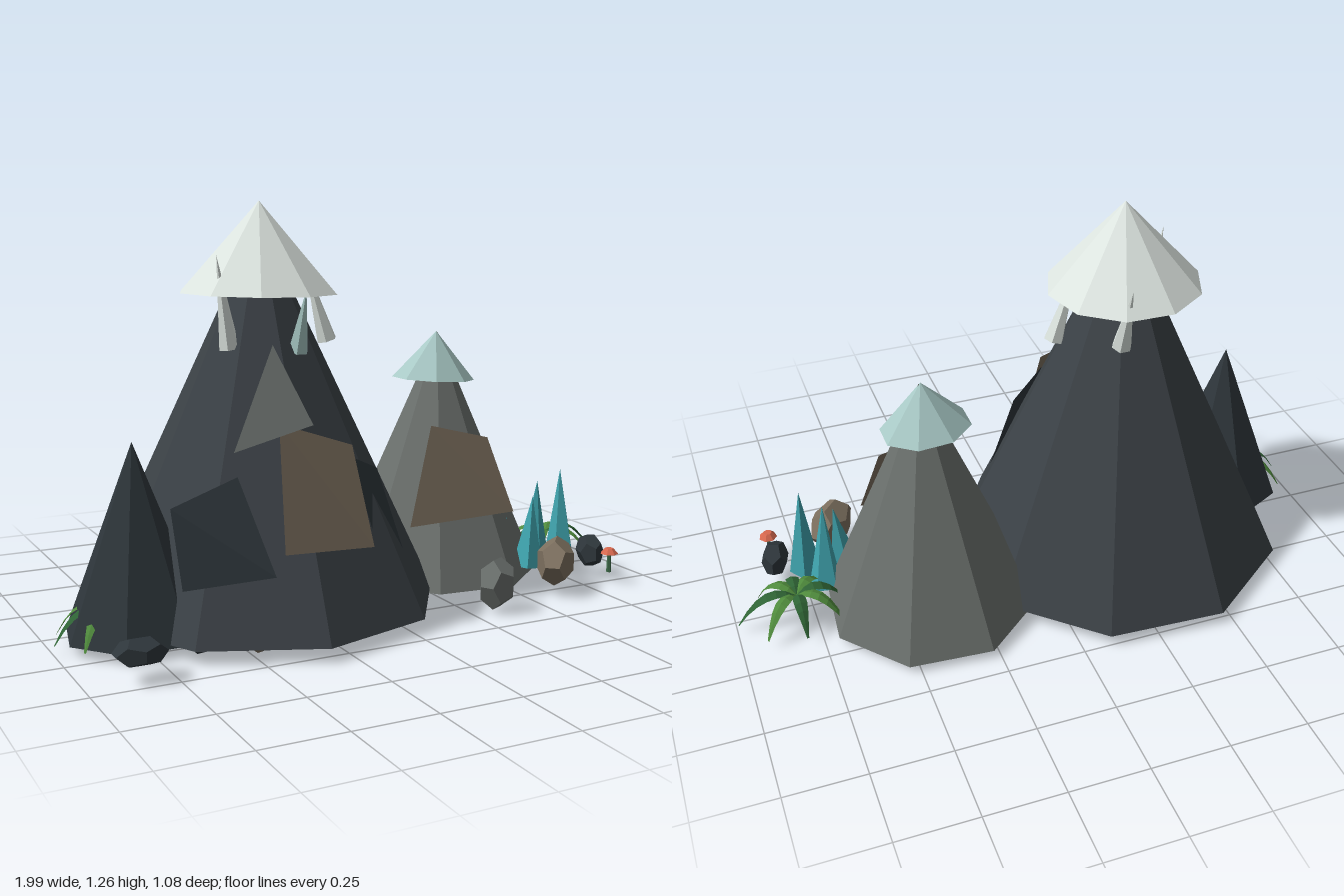
import * as THREE from 'three';

const V = (p) => new THREE.Vector3(...p);
const mat = (color, double = false) => new THREE.MeshStandardMaterial({
  color, flatShading: true, side: double ? THREE.DoubleSide : THREE.FrontSide,
});

const DARK = 0x3b4146, GREY = 0x6b706d, BROWN = 0x7d705f, SLATE = 0x2e363b;
const SNOW = 0xdde5e0, ICE = 0xa9c9c6, TEAL = 0x3fa3ad;

export function createModel() {
  const model = new THREE.Group();

  const add = (name, geometry, material, parent = model) => {
    const mesh = new THREE.Mesh(geometry, material);
    mesh.name = name;
    parent.add(mesh);
    return mesh;
  };

  // Faceted cone from a base point to a tip; startDeg is the top-view angle of one corner
  const cone = (name, base, tip, radius, sides, color, startDeg = 0, parent = model) => {
    const axis = V(tip).sub(V(base));
    const start = THREE.MathUtils.degToRad(90 - startDeg);
    const geometry = new THREE.ConeGeometry(radius, axis.length(), sides, 1, false, start);
    geometry.translate(0, axis.length() / 2, 0);
    const mesh = add(name, geometry, mat(color), parent);
    mesh.position.set(...base);
    mesh.quaternion.setFromUnitVectors(new THREE.Vector3(0, 1, 0), axis.normalize());
    return mesh;
  };

  // Flat rock plate with three or four corners
  const slab = (name, color, ...corners) => {
    const geometry = new THREE.BufferGeometry();
    geometry.setAttribute('position', new THREE.Float32BufferAttribute(corners.flat(), 3));
    geometry.setIndex(corners.length === 4 ? [0, 2, 1, 0, 3, 2] : [0, 1, 2]);
    geometry.computeVertexNormals();
    add(name, geometry, mat(color, true));
  };

  // Peaks
  cone('mainPeak', [-0.3, 0.042, 0], [-0.3, 1.21, 0], 0.55, 9, DARK, 13);
  cone('smallPeak', [0.38, 0.027, -0.1], [0.385, 0.83, -0.1], 0.345, 8, GREY, 27);
  cone('sidePeak', [-0.755, 0.032, 0.13], [-0.755, 0.59, 0.13], 0.215, 7, SLATE, 218);

  // Snow caps
  cone('mainSnowCap', [-0.305, 0.99, 0], [-0.3, 1.265, 0], 0.245, 10, SNOW, 3);
  cone('smallSnowCap', [0.37, 0.675, -0.1], [0.38, 0.833, -0.1], 0.142, 8, ICE, 22.5)
    .scale.z = 0.86;

  // Icicles around the main cap
  const icicles = new THREE.Group();
  icicles.name = 'icicles';
  model.add(icicles);
  [
    [[-0.243, 0.825, 0.15], [-0.243, 1.01, 0.212], ICE],
    [[-0.075, 0.835, 0], [-0.15, 1.08, 0], SNOW],
    [[-0.24, 0.86, -0.147], [-0.24, 1.08, -0.215], SNOW],
    [[-0.435, 0.835, 0.085], [-0.48, 1.11, 0.105], SNOW],
  ].forEach(([base, tip, color]) => cone('icicle', base, tip, 0.032, 6, color, 0, icicles));

  // Rock plates leaning on the peaks
  slab('upperSlab', GREY, [-0.375, 0.86, 0.265], [-0.53, 0.575, 0.345], [-0.3, 0.64, 0.375]);
  slab('frontSlab', BROWN, [-0.39, 0.645, 0.34], [-0.157, 0.565, 0.335],
    [-0.125, 0.275, 0.415], [-0.43, 0.3, 0.467]);
  slab('leftSlab', SLATE, [-0.71, 0.43, 0.32], [-0.51, 0.5, 0.32],
    [-0.45, 0.235, 0.45], [-0.7, 0.21, 0.38]);
  slab('rightSlab', SLATE, [-0.16, 0.53, 0.33], [-0.03, 0.47, 0.25],
    [0.055, 0.2, 0.27], [-0.1, 0.31, 0.355]);
  slab('smallPeakSlab', BROWN, [0.27, 0.545, 0.06], [0.485, 0.49, 0.06],
    [0.54, 0.25, 0.14], [0.15, 0.24, 0.14]);

  // Boulders: position, half sizes, turn, colour
  [
    [[0.335, 0.09, 0.36], [0.065, 0.08, 0.058], 0.5, GREY],
    [[0.62, 0.105, 0.27], [0.1, 0.075, 0.06], 0.85, BROWN],
    [[0.832, 0.09, 0.17], [0.042, 0.055, 0.065], -0.3, SLATE],
    [[-0.845, 0.083, 0.445], [0.075, 0.04, 0.055], 0, SLATE],
    [[-0.455, 0.05, 0.37], [0.07, 0.05, 0.05], 0.4, BROWN],
    [[-0.64, 0.055, 0.36], [0.04, 0.035, 0.035], 0.2, SLATE],
  ].forEach(([position, size, turn, color]) => {
    const rock = add('boulder', new THREE.DodecahedronGeometry(1.05), mat(color));
    rock.position.set(...position);
    rock.scale.set(...size);
    rock.rotation.y = turn;
  });

  // Crystal cluster
  const crystals = new THREE.Group();
  crystals.name = 'crystals';
  model.add(crystals);
  [
    [[0.738, 0.052, 0.13], [0.74, 0.37, 0.118], 0.056],
    [[0.695, 0.048, 0.035], [0.677, 0.328, 0.077], 0.053],
    [[0.615, 0.05, 0.115], [0.637, 0.285, 0.11], 0.053],
    [[0.575, 0.05, 0.07], [0.56, 0.215, 0.07], 0.035],
  ].forEach(([base, tip, r], i) => cone('crystal', base, tip, r, 5, TEAL, i * 25, crystals));

  // Arching, folded leaf running along +x
  const leafGeometry = (length) => {
    const positions = [], index = [], steps = 6;
    for (let i = 0; i <= steps; i++) {
      const t = i / steps;
      const y = 0.035 + 0.16 * t - 0.235 * t * t;
      const half = 0.003 + 0.018 * Math.sin(Math.PI * Math.pow(t, 0.8));
      for (const side of [-1, 0, 1]) {
        positions.push(length * t, y - Math.abs(side) * half * 0.4, side * half);
      }
      if (i < steps) {
        for (const k of [0, 1]) {
          const a = i * 3 + k;
          index.push(a, a + 1, a + 3, a + 1, a + 4, a + 3);
        }
      }
    }
    const geometry = new THREE.BufferGeometry();
    geometry.setAttribute('position', new THREE.Float32BufferAttribute(positions, 3));
    geometry.setIndex(index);
    geometry.computeVertexNormals();
    return geometry;
  };

  const fern = (name, x, y, z) => {
    const plant = new THREE.Group();
    plant.name = name;
    plant.position.set(x, y, z);
    model.add(plant);
    const angles = [2, 46, 90, 134, 176, 214, 268, 320];
    angles.forEach((deg, i) => {
      const length = [0.19, 0.16, 0.14, 0.15, 0.165, 0.16, 0.125, 0.15][i];
      const leaf = add('leaf', leafGeometry(length), mat(i % 2 ? 0x4f8a3c : 0x2f6435, true), plant);
      leaf.rotation.y = -THREE.MathUtils.degToRad(deg);
    });
  };
  fern('rightFern', 0.805, 0.07, -0.055);
  fern('leftFern', -0.835, 0.07, 0.135);

  // Small mushroom
  const mushroom = new THREE.Group();
  mushroom.name = 'mushroom';
  mushroom.position.set(0.835, 0.04, 0.272);
  model.add(mushroom);
  add('mushroomStem', new THREE.CylinderGeometry(0.006, 0.008, 0.066, 6), mat(0x3f6b4a), mushroom)
    .position.y = 0.033;
  add('mushroomCap', new THREE.CylinderGeometry(0.014, 0.03, 0.018, 7), mat(0xd9694f), mushroom)
    .position.y = 0.072;

  return model;
}
